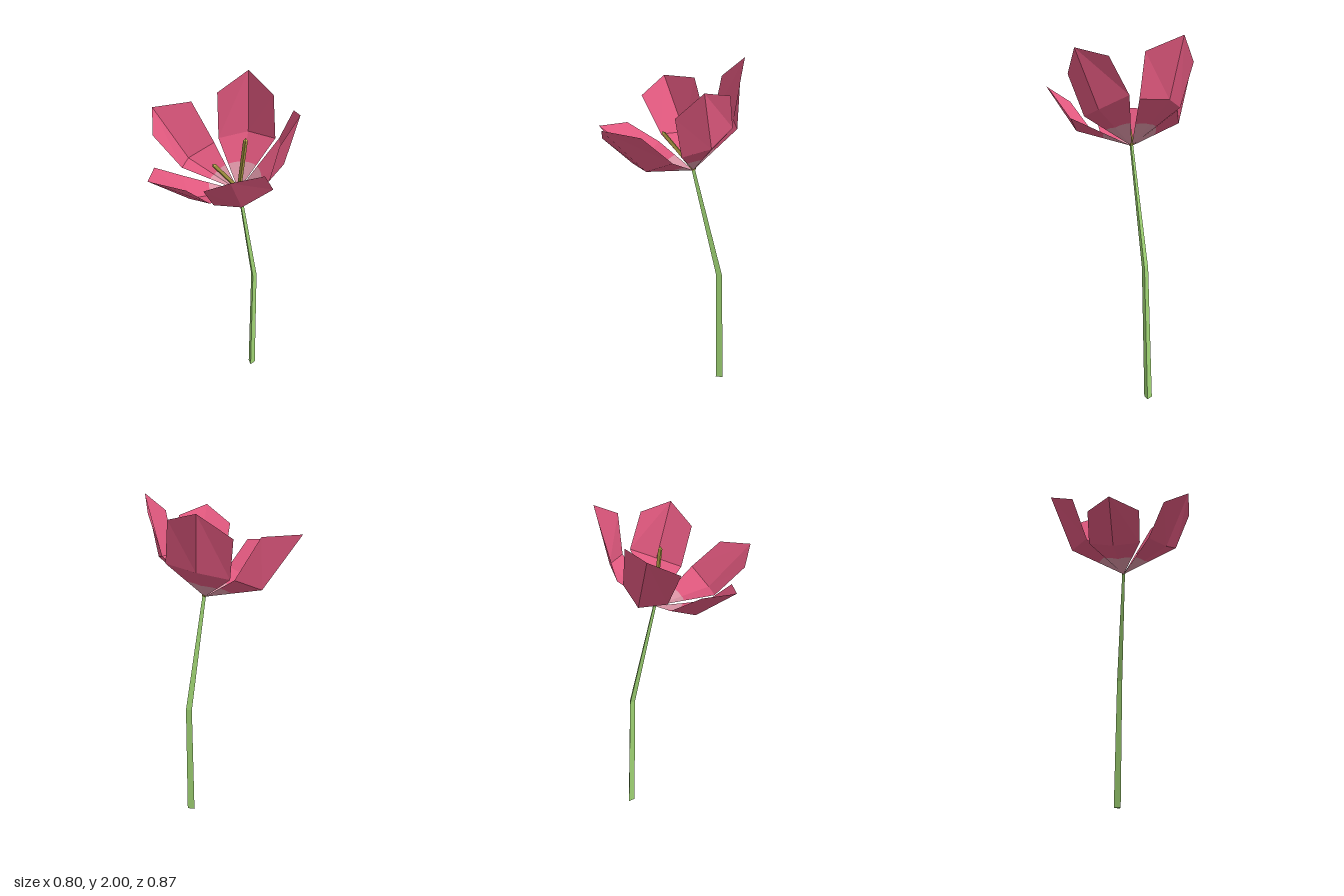
import * as THREE from 'three';

const mat = (name, color, extra = {}) =>
  Object.assign(new THREE.MeshStandardMaterial({ color, flatShading: true, ...extra }), { name });

// Flat-shaded mesh from a list of triangles (each three Vector3)
function facets(name, tris, material) {
  const g = new THREE.BufferGeometry().setFromPoints(tris.flat());
  g.computeVertexNormals();
  const m = new THREE.Mesh(g, material);
  m.name = name;
  return m;
}

const quad = (a, b, c, d) => [[a, b, c], [a, c, d]];

// Tapered prism through a row of rings, closed at the first ring
function loft(rings) {
  const tris = [], n = rings[0].length;
  for (let r = 0; r < rings.length - 1; r++)
    for (let i = 0; i < n; i++) {
      const j = (i + 1) % n;
      tris.push(...quad(rings[r][i], rings[r][j], rings[r + 1][j], rings[r + 1][i]));
    }
  for (let i = 1; i < n - 1; i++) tris.push([rings[0][0], rings[0][i + 1], rings[0][i]]);
  return tris;
}

export function createModel() {
  const group = new THREE.Group();
  const pink = mat('petal pink', 0xe0587e, { side: THREE.DoubleSide });
  const pale = mat('pale petal base', 0xdc95a6, { side: THREE.DoubleSide });
  const green = mat('stem green', 0xa0d474);
  const olive = mat('stamen olive', 0xa2923f);
  const yellow = mat('stamen tip', 0xc4b355);
  const V = (p) => new THREE.Vector3(...p);
  const base = V([0.14, 1.415, 0.04]);

  // Petals: middle row then tip row, each as edge, crease, edge
  const petals = {
    backPetal: [[[-0.06, 1.54, -0.205], [0.07, 1.53, -0.29], [0.2, 1.61, -0.21]],
      [[-0.18, 1.74, -0.3], [-0.06, 1.83, -0.435], [0.125, 1.845, -0.315]]],
    leftPetal: [[[0.235, 1.625, -0.21], [0.35, 1.67, -0.085], [0.37, 1.675, 0.1]],
      [[0.28, 1.87, -0.265], [0.4, 2, -0.14], [0.374, 1.915, 0.07]]],
    frontLeftPetal: [[[0.345, 1.695, 0.145], [0.24, 1.62, 0.275], [0.09, 1.58, 0.3]],
      [[0.325, 1.89, 0.25], [0.2, 1.935, 0.39], [0.06, 1.805, 0.38]]],
    frontRightPetal: [[[0.05, 1.57, 0.365], [-0.095, 1.49, 0.28], [-0.18, 1.49, 0.16]],
      [[-0.1, 1.72, 0.43], [-0.3, 1.74, 0.39], [-0.325, 1.65, 0.235]]],
    rightPetal: [[[-0.155, 1.47, 0.11], [-0.155, 1.44, -0.05], [-0.07, 1.5, -0.19]],
      [[-0.305, 1.595, 0.09], [-0.4, 1.615, -0.095], [-0.255, 1.605, -0.21]]],
  };
  const paleRadius = 0.17, steps = 4;
  for (const [name, rows] of Object.entries(petals)) {
    const [mid, tip] = rows.map((row) => row.map(V));
    const outer = [], inner = [];
    for (let i = 0; i < 2; i++) {
      outer.push(...quad(mid[i], mid[i + 1], tip[i + 1], tip[i]));
      // Lower facet, with a rounded pale zone around the base
      for (let k = 0; k < steps; k++) {
        const [a, b] = [k, k + 1].map((s) => mid[i].clone().lerp(mid[i + 1], s / steps));
        const [pa, pb] = [a, b].map((p) =>
          p.clone().sub(base).setLength(paleRadius).add(base));
        inner.push([base, pb, pa]);
        outer.push(...quad(pa, pb, b, a));
      }
    }
    const petal = new THREE.Group();
    petal.name = name;
    petal.add(facets(name + 'Blade', outer, pink), facets(name + 'Base', inner, pale));
    group.add(petal);
  }

  // Three-sided bent stem with a flat face to the front
  const stemRings = [[0.33, 0, 0.023, 0.025], [0.305, 0.755, 0.034, 0.02], [0.14, 1.425, 0.043, 0.011]]
    .map(([x, y, z, r]) => [60, 180, 300].map((deg) => {
      const a = THREE.MathUtils.degToRad(deg);
      return new THREE.Vector3(x + r * Math.sin(a), y, z + r * Math.cos(a));
    }));
  group.add(facets('stem', loft(stemRings), green));

  // Four-sided stamens with pointed tips
  const stamens = [['longStamen', [0.145, 1.42, 0.04], [0.126, 1.75, 0.098]],
    ['shortStamen', [0.145, 1.42, 0.043], [-0.035, 1.625, 0.01]]];
  for (const [name, from, to] of stamens) {
    const start = V(from), end = V(to), length = start.distanceTo(end), tipLength = 0.015;
    const stamen = new THREE.Group();
    stamen.name = name;
    const add = (part, geometry, y, material) => {
      const m = new THREE.Mesh(geometry, material);
      m.name = name + part;
      m.position.y = y;
      m.rotation.y = Math.PI / 4;
      stamen.add(m);
    };
    add('Shaft', new THREE.CylinderGeometry(0.0125, 0.0125, length - tipLength, 4), (length - tipLength) / 2, olive);
    add('Tip', new THREE.ConeGeometry(0.0125, tipLength, 4), length - tipLength / 2, yellow);
    stamen.position.copy(start);
    stamen.quaternion.setFromUnitVectors(new THREE.Vector3(0, 1, 0), end.sub(start).normalize());
    group.add(stamen);
  }
  return group;
}
